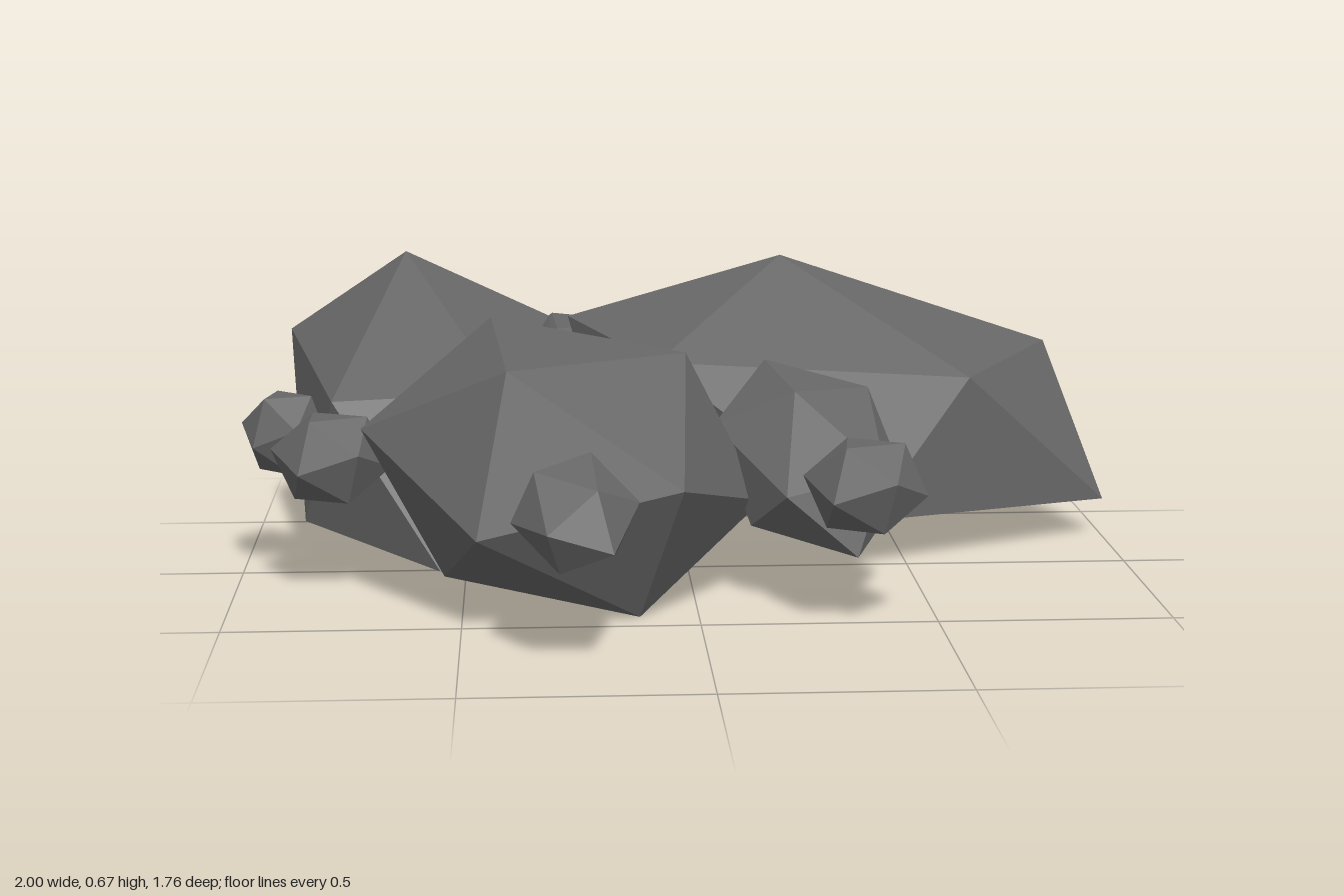
import * as THREE from 'three';

const stone = new THREE.MeshStandardMaterial({ color: 0x666666, flatShading: true });
stone.name = 'dark grey stone';

// Stretched icosahedron: its first face is carried onto the corners a, b, c,
// given relative to the centre. Corners below the bed height are pressed up to it.
function makeRock(name, centre, a, b, c, bed = 0) {
  const geo = new THREE.IcosahedronGeometry(1, 0);
  const pos = geo.attributes.position;
  const corner = (i) => new THREE.Vector3().fromBufferAttribute(pos, i);
  const basis = (p, q, r) => new THREE.Matrix4().makeBasis(p, q, r);
  const [p, q, r] = [a, b, c].map((v) => new THREE.Vector3(...v));
  let target = basis(p, q, r);
  if (target.determinant() < 0) target = basis(p, r, q); // keep faces outward
  geo.applyMatrix4(target.multiply(basis(corner(0), corner(1), corner(2)).invert()));
  for (let i = 0; i < pos.count; i++) pos.setY(i, Math.max(pos.getY(i), bed - centre[1]));
  geo.computeVertexNormals();
  const mesh = new THREE.Mesh(geo, stone);
  mesh.name = name;
  mesh.position.set(...centre);
  return mesh;
}

// Small rock resting with one face up, turned by an angle
function makePebble(name, centre, rx, ry, rz, turn) {
  const corners = [0, 1, 2].map((k) => {
    const t = turn + (k * Math.PI * 2) / 3;
    return [0.618 * rx * Math.cos(t), ry, 0.618 * rz * Math.sin(t)];
  });
  return makeRock(name, centre, ...corners);
}

export function createModel() {
  const group = new THREE.Group();
  group.name = 'rockPile';

  // Large boulders
  group.add(
    makeRock('rightBoulder', [0.37, 0.305, -0.34],
      [-0.13, 0.36, -0.04], [0.28, 0.115, 0.26], [0.53, 0.125, -0.19], 0.04),
    makeRock('leftBoulder', [-0.585, 0.305, -0.29],
      [-0.055, 0.37, -0.13], [-0.035, 0.24, -0.54], [-0.335, 0.175, -0.21], 0.035),
    makeRock('frontBoulder', [-0.28, 0.305, 0.285],
      [-0.12, 0.245, 0.23], [-0.155, 0.3, -0.142], [-0.43, 0.095, 0.055]),
  );

  // Medium rocks
  group.add(
    makeRock('frontRock', [0.255, 0.305, 0.215],
      [-0.036, 0.145, 0.018], [0.135, 0.135, -0.085], [0.142, 0, 0.19]),
    makeRock('backRock', [-0.225, 0.315, -0.715],
      [0.139, 0.14, -0.015], [-0.059, 0.14, 0.1], [-0.07, 0.15, -0.09]),
  );

  // Tilted rock at the very front
  group.add(makeRock('frontPebble', [-0.265, 0.305, 0.738],
    [0.043, 0.06, 0.077], [-0.082, 0.085, 0.009], [0.033, 0.105, -0.083]));

  // Pebbles around and between the boulders: centre, radii, turn
  const pebbles = [
    [[-0.9, 0.32, -0.03], 0.1, 0.085, 0.1, 0.2],
    [[-0.785, 0.305, 0.18], 0.13, 0.09, 0.105, 0.0],
    [[-0.26, 0.31, -0.125], 0.115, 0.09, 0.105, 0.1],
    [[-0.17, 0.31, -0.41], 0.12, 0.1, 0.12, 0.1],
    [[0.34, 0.305, 0.525], 0.13, 0.09, 0.105, 0.1],
    [[0.07, 0.305, -0.825], 0.052, 0.052, 0.06, 0.5],
  ];
  pebbles.forEach(([c, rx, ry, rz, turn], i) =>
    group.add(makePebble(`pebble${i + 1}`, c, rx, ry, rz, turn)));

  return group;
}
